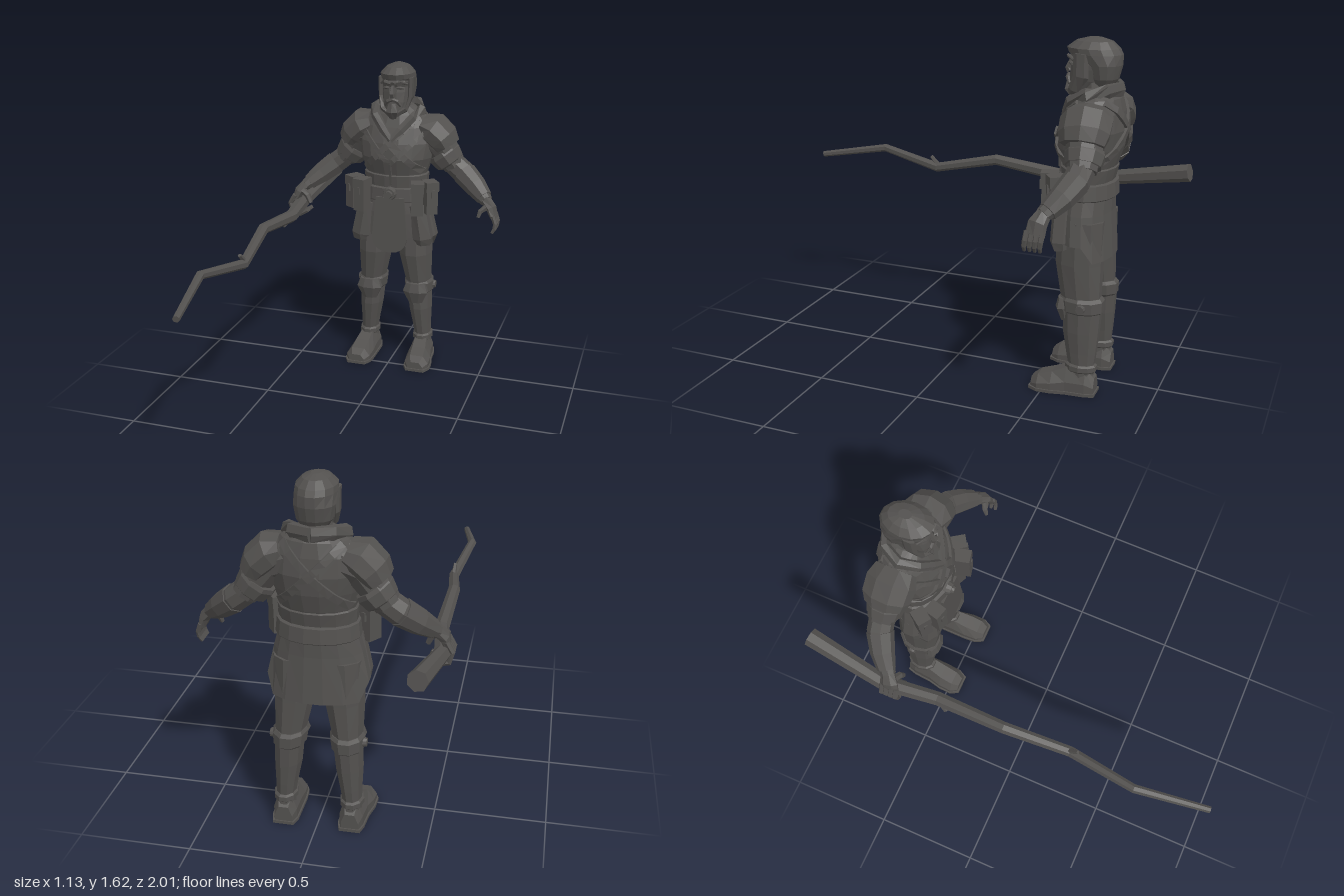
import * as THREE from 'three';

const V = (x, y, z) => new THREE.Vector3(x, y, z);
const charcoal = new THREE.MeshStandardMaterial({ color: 0x53514f });
charcoal.name = 'charcoal';

// Flat-shaded mesh from any geometry
function mesh(name, geo) {
  const g = geo.index ? geo.toNonIndexed() : geo;
  g.deleteAttribute('uv');
  g.computeVertexNormals();
  const m = new THREE.Mesh(g, charcoal);
  m.name = name;
  return m;
}

// Capped skin over cross-section loops; winding is fixed from the signed volume
function loft(name, rings) {
  const tris = [], n = rings[0].length;
  const mid = r => r.reduce((a, p) => a.add(p), V(0, 0, 0)).divideScalar(n);
  const c0 = mid(rings[0]), last = rings[rings.length - 1], c1 = mid(last);
  for (let j = 0; j < n; j++) {
    const k = (j + 1) % n;
    tris.push([c0, rings[0][k], rings[0][j]], [c1, last[j], last[k]]);
    for (let i = 0; i + 1 < rings.length; i++) {
      const [a, b] = [rings[i], rings[i + 1]];
      tris.push([a[j], a[k], b[k]], [a[j], b[k], b[j]]);
    }
  }
  let vol = 0;
  for (const [a, b, c] of tris) {
    vol += a.clone().sub(c0).dot(b.clone().sub(c0).cross(c.clone().sub(c0)));
  }
  const pts = tris.flatMap(t => (vol < 0 ? [t[0], t[2], t[1]] : t));
  return mesh(name, new THREE.BufferGeometry().setFromPoints(pts));
}

// Upright body from rows [y, centre x, half width, front z, back z]
function body(name, rows, n = 14, s = 1, yOff = () => 0) {
  return loft(name, rows.map(([y, cx, rx, zf, zb], i) => Array.from({ length: n }, (_, j) => {
    const a = (j + 0.5) / n * Math.PI * 2, c = Math.cos(a);
    return V(s * (cx + rx * Math.sin(a)), y + yOff(c, i), (zf + zb) / 2 + c * (zf - zb) / 2);
  })));
}

// Limb along points [x, y, z, radius, radius towards ref]
function limb(name, pts, n = 8, s = 1, ref = V(0, 0, 1)) {
  const P = pts.map(p => V(s * p[0], p[1], p[2]));
  return loft(name, P.map((p, i) => {
    const t = P[Math.min(i + 1, P.length - 1)].clone().sub(P[Math.max(i - 1, 0)]).normalize();
    const u = t.clone().cross(ref).normalize(), v = u.clone().cross(t);
    const ra = pts[i][3], rb = pts[i][4] ?? ra;
    return Array.from({ length: n }, (_, j) => {
      const a = (j + 0.5) / n * Math.PI * 2;
      return p.clone().addScaledVector(u, ra * Math.cos(a)).addScaledVector(v, rb * Math.sin(a));
    });
  }));
}

const torsoRows = [
  [0.88, 0, 0.17, -0.53, -0.745], [1.0, 0, 0.155, -0.53, -0.735], [1.06, 0, 0.165, -0.515, -0.76],
  [1.14, 0, 0.19, -0.488, -0.785], [1.22, 0, 0.205, -0.505, -0.795], [1.3, 0, 0.195, -0.535, -0.785],
  [1.36, 0, 0.145, -0.56, -0.77], [1.4, 0, 0.075, -0.585, -0.735]];

// Depth of the torso surface at x, y on the front (1) or back (-1)
function torsoZ(x, y, side) {
  let i = 0;
  while (i < torsoRows.length - 2 && torsoRows[i + 1][0] < y) i++;
  const a = torsoRows[i], b = torsoRows[i + 1], t = (y - a[0]) / (b[0] - a[0]);
  const [, , rx, zf, zb] = a.map((q, k) => q + (b[k] - q) * t);
  const k = Math.sqrt(Math.max(0, 1 - (x / rx) ** 2));
  return (zf + zb) / 2 + side * k * (zf - zb) / 2;
}

// Flat band lying on the torso from one x, y to another
function strap(name, [x0, y0], [x1, y1], w, side) {
  const d = new THREE.Vector2(x1 - x0, y1 - y0).normalize().multiplyScalar(w);
  return loft(name, Array.from({ length: 9 }, (_, i) => {
    const x = x0 + (x1 - x0) * i / 8, y = y0 + (y1 - y0) * i / 8;
    return [[1, 0.012], [1, -0.02], [-1, -0.02], [-1, 0.012]].map(([e, o]) => {
      const px = x - e * d.y, py = y + e * d.x;
      return V(px, py, torsoZ(px, py, side) + side * o);
    });
  }));
}

function box(name, size, pos, rot = [0, 0, 0]) {
  const m = mesh(name, new THREE.BoxGeometry(...size));
  m.position.set(...pos);
  m.rotation.set(...rot);
  return m;
}

function disc(name, r, h, pos, rot, n = 10) {
  const m = mesh(name, new THREE.CylinderGeometry(r * 0.8, r, h, n));
  m.position.set(...pos);
  m.rotation.set(...rot);
  return m;
}

export function createModel() {
  const model = new THREE.Group();
  model.name = 'traveller';
  const add = (...m) => model.add(...m);

  // Head, hair and face
  add(body('face', [[1.355, 0, 0.03, -0.54, -0.6], [1.385, 0, 0.058, -0.53, -0.66], [1.43, 0, 0.072, -0.53, -0.7],
    [1.48, 0, 0.078, -0.535, -0.73], [1.505, 0, 0.078, -0.54, -0.73], [1.53, 0, 0.08, -0.528, -0.74], [1.58, 0, 0.07, -0.55, -0.72]], 12));
  add(body('hair', [[1.4, 0, 0.05, -0.64, -0.725], [1.44, 0, 0.076, -0.625, -0.75], [1.5, 0, 0.087, -0.6, -0.765],
    [1.545, 0, 0.088, -0.525, -0.765], [1.57, 0, 0.086, -0.515, -0.752], [1.6, 0, 0.058, -0.555, -0.72], [1.615, 0, 0.022, -0.61, -0.67]], 14));
  add(body('neck', [[1.33, 0, 0.075, -0.57, -0.73], [1.44, 0, 0.06, -0.58, -0.71]], 10));
  add(limb('nose', [[0, 1.515, -0.535, 0.008], [0, 1.475, -0.52, 0.014], [0, 1.46, -0.53, 0.016]], 5, 1, V(1, 0, 0)));
  add(limb('beard', [[0, 1.425, -0.53, 0.02, 0.012], [0, 1.385, -0.525, 0.035, 0.018], [0, 1.35, -0.55, 0.02, 0.015]], 6));

  // Torso, vest bands and belt
  add(body('torso', torsoRows, 16));
  add(strap('vestSeam', [0, 1.0], [0, 1.24], 0.006, 1));
  for (const side of [1, -1]) for (const s of [1, -1]) {
    add(strap('crossStrap', [s * 0.125, 1.355], [-s * 0.155, 1.075], 0.016, side));
  }
  for (const s of [1, -1]) add(strap('vestLapel', [s * 0.165, 1.28], [0, 1.12], 0.012, 1));
  add(box('strapBuckle', [0.045, 0.045, 0.02], [0, 1.175, -0.482], [0, 0, Math.PI / 4]));
  add(body('waistWrap', [[0.99, 0, 0.168, -0.517, -0.75], [1.05, 0, 0.172, -0.508, -0.765], [1.06, 0, 0.16, -0.525, -0.75]], 16));
  add(body('belt', [[0.915, 0, 0.18, -0.505, -0.765], [0.92, 0, 0.185, -0.5, -0.77], [0.985, 0, 0.178, -0.502, -0.765], [0.99, 0, 0.165, -0.52, -0.75]], 16));
  add(disc('beltBuckle', 0.037, 0.025, [0, 0.962, -0.495], [Math.PI / 2, 0, 0], 12));
  add(disc('buckleStud', 0.022, 0.015, [0, 0.962, -0.478], [Math.PI / 2, 0, 0]));

  // Skirt, longer at the back, with a hollow underside
  add(body('skirt', [[0.94, 0, 0.17, -0.515, -0.755], [0.85, 0, 0.195, -0.51, -0.755], [0.72, 0, 0.225, -0.515, -0.77],
    [0.725, 0, 0.2, -0.535, -0.75], [0.82, 0, 0.17, -0.55, -0.73]], 16, 1, (c, i) => (i === 2 || i === 3 ? (c < -0.3 ? -0.08 : 0) : 0)));
  const flap = new THREE.Shape();
  flap.moveTo(-0.075, 0.94).lineTo(0.075, 0.94).lineTo(0.095, 0.72)
    .quadraticCurveTo(0.085, 0.64, 0, 0.64).quadraticCurveTo(-0.085, 0.64, -0.095, 0.72);
  const apron = mesh('frontApron', new THREE.ExtrudeGeometry(flap, { depth: 0.014, bevelEnabled: false, curveSegments: 4 }));
  apron.position.z = -0.512;
  add(apron);

  // Staff with bent shaft and two twigs
  add(limb('staff', [[-0.46, 0.82, 1, 0.016], [-0.52, 0.875, 0.65, 0.021], [-0.463, 0.815, 0.32, 0.025], [-0.497, 0.88, 0, 0.028],
    [-0.483, 0.842, -0.34, 0.033], [-0.515, 0.848, -0.6, 0.037], [-0.468, 0.925, -1, 0.045]], 7, 1, V(0, 1, 0)));
  add(limb('twig', [[-0.463, 0.825, 0.31, 0.014], [-0.465, 0.87, 0.355, 0.009]], 5, 1, V(1, 0, 0)));
  add(limb('twig', [[-0.485, 0.84, -0.34, 0.014], [-0.51, 0.8, -0.29, 0.012]], 5, 1, V(1, 0, 0)));

  for (const s of [1, -1]) {
    // Facial features
    add(limb('brow', [[0.01, 1.525, -0.53, 0.007], [0.04, 1.535, -0.532, 0.009], [0.068, 1.52, -0.565, 0.006]], 5, s));
    add(limb('eye', [[0.02, 1.502, -0.54, 0.006], [0.035, 1.503, -0.542, 0.009], [0.052, 1.5, -0.553, 0.006]], 5, s));
    add(limb('moustache', [[0, 1.446, -0.525, 0.01], [0.026, 1.437, -0.528, 0.01], [0.042, 1.412, -0.54, 0.006]], 5, s));
    add(limb('sideburn', [[0.078, 1.55, -0.6, 0.012, 0.035], [0.076, 1.45, -0.6, 0.012, 0.035], [0.055, 1.39, -0.57, 0.016, 0.03], [0.01, 1.365, -0.545, 0.015, 0.02]], 6, s));

    // Shawl collar
    add(limb('collar', [[0, 1.395, -0.765, 0.035, 0.018], [0.085, 1.395, -0.725, 0.035, 0.025], [0.125, 1.375, -0.645, 0.025, 0.035],
      [0.095, 1.35, -0.565, 0.025, 0.025], [0.045, 1.29, -0.53, 0.024, 0.018], [0, 1.24, -0.508, 0.02, 0.014]], 6, s));

    // Arm, shoulder guard and sleeve cuff
    add(limb('sleeve', [[0.11, 1.27, -0.665, 0.09, 0.1], [0.2, 1.235, -0.67, 0.09, 0.095], [0.25, 1.16, -0.68, 0.075, 0.08], [0.3, 1.09, -0.685, 0.06, 0.065]], 9, s));
    add(limb('shoulderGuard', [[0.13, 1.305, -0.665, 0.055, 0.1], [0.18, 1.285, -0.665, 0.088, 0.118], [0.235, 1.235, -0.67, 0.082, 0.115], [0.26, 1.195, -0.67, 0.066, 0.1]], 9, s));
    add(limb('sleeveCuff', [[0.232, 1.165, -0.68, 0.082, 0.084], [0.245, 1.148, -0.68, 0.088, 0.09], [0.275, 1.108, -0.682, 0.077, 0.08], [0.282, 1.098, -0.682, 0.06, 0.06]], 9, s));
    add(limb('forearm', [[0.28, 1.11, -0.683, 0.058, 0.06], [0.345, 1.06, -0.675, 0.06, 0.06], [0.41, 1.01, -0.64, 0.052, 0.052], [0.49, 0.945, -0.58, 0.032, 0.036]], 8, s));
    add(limb('bracer', [[0.35, 1.057, -0.672, 0.064, 0.064], [0.42, 1.002, -0.635, 0.057, 0.057], [0.475, 0.957, -0.595, 0.042, 0.044]], 8, s));
    add(limb('palm', [[0.48, 0.955, -0.585, 0.03, 0.032], [0.52, 0.915, -0.565, 0.026, 0.045], [0.537, 0.868, -0.56, 0.018, 0.046]], 7, s));

    // Pouches on the front of the belt
    for (const [x, z, turn] of [[0.148, -0.497, 0.25], [0.203, -0.545, 0.6]]) {
      add(box('pouch', [0.06, 0.16, 0.07], [s * x, 0.945, z], [0, s * turn, 0]));
      add(box('pouchLid', [0.068, 0.05, 0.08], [s * x, 1.01, z], [0, s * turn, 0]));
      add(box('pouchClasp', [0.018, 0.04, 0.09], [s * x, 0.975, z], [0, s * turn, 0]));
    }
    add(limb('skirtPanel', [[0.135, 0.9, -0.56, 0.05, 0.05], [0.165, 0.72, -0.56, 0.058, 0.05], [0.165, 0.69, -0.565, 0.05, 0.04]], 6, s));

    // Leg, tall boot and knee guard
    add(body('leg', [[0.82, 0.1, 0.1, -0.53, -0.745], [0.62, 0.11, 0.09, -0.525, -0.745], [0.47, 0.125, 0.07, -0.555, -0.745],
      [0.38, 0.13, 0.06, -0.575, -0.745]], 10, s));
    add(body('boot', [[0.43, 0.13, 0.068, -0.57, -0.755], [0.3, 0.137, 0.062, -0.575, -0.748], [0.2, 0.145, 0.05, -0.595, -0.74],
      [0.13, 0.15, 0.044, -0.61, -0.732], [0.06, 0.15, 0.045, -0.61, -0.735]], 10, s));
    add(body('bootCuff', [[0.465, 0.125, 0.07, -0.56, -0.75], [0.45, 0.127, 0.079, -0.552, -0.762], [0.4, 0.13, 0.075, -0.56, -0.76], [0.385, 0.13, 0.062, -0.58, -0.745]], 10, s));
    add(limb('kneeGuard', [[0.128, 0.455, -0.575, 0.055, 0.025], [0.128, 0.41, -0.575, 0.072, 0.036], [0.128, 0.345, -0.582, 0.04, 0.02]], 8, s));
    add(disc('kneeStud', 0.024, 0.02, [s * 0.205, 0.425, -0.67], [0, 0, -s * Math.PI / 2]));
    add(body('ankleStrap', [[0.145, 0.15, 0.046, -0.605, -0.735], [0.137, 0.15, 0.054, -0.595, -0.745], [0.115, 0.15, 0.054, -0.595, -0.745], [0.107, 0.15, 0.046, -0.605, -0.735]], 10, s));

    // Foot sections [z, centre x, half width, height]
    const feet = [[-0.74, 0.15, 0.04, 0.08], [-0.7, 0.15, 0.053, 0.12], [-0.61, 0.153, 0.057, 0.12], [-0.545, 0.16, 0.065, 0.092],
      [-0.48, 0.164, 0.064, 0.07], [-0.445, 0.164, 0.042, 0.045]];
    add(loft('foot', feet.map(([z, cx, w, h]) => [[-1, 0], [1, 0], [1, 0.45], [0.55, 1], [-0.55, 1], [-1, 0.45]]
      .map(([a, b]) => V(s * (cx + a * w), 0.004 + b * h, z)))));
    add(loft('sole', feet.map(([z, cx, w], i) => [[-1, 0], [1, 0], [1, 0.014], [-1, 0.014]]
      .map(([a, y]) => V(s * (cx + a * (w + 0.007)), y, z + (i === 5 ? 0.008 : i ? 0 : -0.006))))));
  }

  // Open left hand, and right hand closed round the staff
  for (let i = 0; i < 4; i++) {
    const z = -0.595 + i * 0.023;
    add(limb('finger', [[0.535, 0.885, z, 0.013], [0.55, 0.845, z + 0.004, 0.012], [0.548, 0.82, z + 0.008, 0.011], [0.535, 0.798, z + 0.01, 0.008]], 6));
    add(limb('grippingFinger', [[-0.532, 0.9, z, 0.014], [-0.558, 0.855, z, 0.014], [-0.545, 0.808, z, 0.014], [-0.502, 0.797, z, 0.013], [-0.462, 0.82, z, 0.011]], 6));
  }
  add(limb('thumb', [[0.5, 0.925, -0.55, 0.018], [0.468, 0.9, -0.535, 0.014], [0.46, 0.87, -0.525, 0.009]], 6));
  add(limb('grippingThumb', [[-0.505, 0.925, -0.555, 0.02], [-0.465, 0.9, -0.54, 0.017], [-0.448, 0.86, -0.535, 0.012]], 6));

  return model;
}
